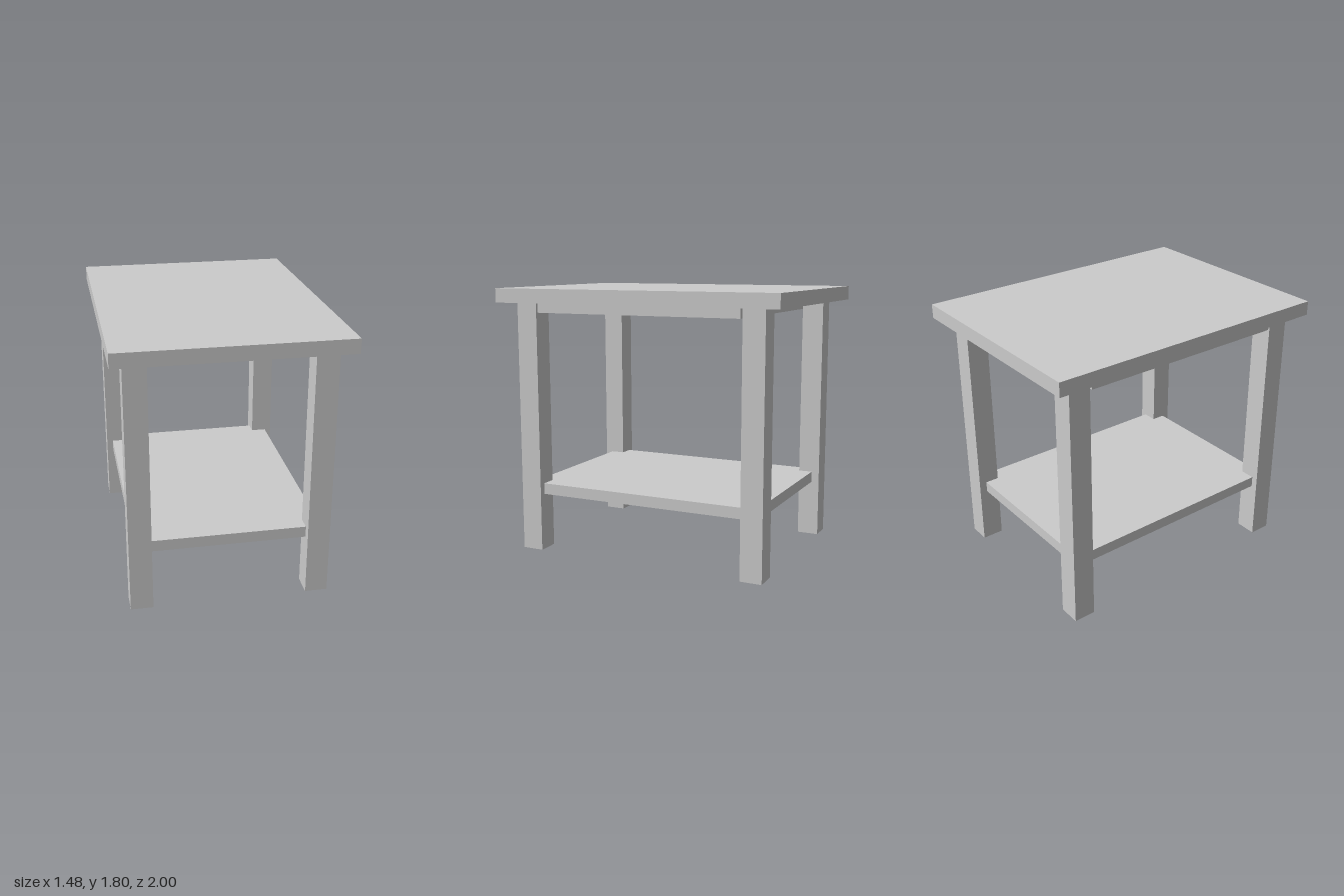
import * as THREE from 'three';

const material = new THREE.MeshStandardMaterial({ color: 0xcccccc, flatShading: true });

// Horizontal or vertical board, placed by its bottom height
function board(name, w, h, d, x, y, z) {
  const mesh = new THREE.Mesh(new THREE.BoxGeometry(w, h, d), material);
  mesh.name = name;
  mesh.position.set(x, y + h / 2, z);
  return mesh;
}

export function createModel() {
  const table = new THREE.Group();
  table.name = 'sideTable';

  // Table top and the panel fixed beneath it, between the legs
  table.add(board('tableTop', 1.48, 0.095, 2, 0, 1.705, 0));
  table.add(board('underPanel', 1.32, 0.063, 1.445, 0, 1.64, 0));

  // Four square legs
  for (const [side, sx] of [['Left', 1], ['Right', -1]]) {
    for (const [end, sz] of [['front', 1], ['back', -1]]) {
      table.add(board(`${end}${side}Leg`, 0.148, 1.705, 0.148, sx * 0.585, 0, sz * 0.809));
    }
  }

  // Lower shelf with its corners notched around the legs
  const [ix, iz, ox, oz] = [0.511, 0.735, 0.615, 0.83];
  const outline = [];
  for (const [sx, sz] of [[1, 1], [-1, 1], [-1, -1], [1, -1]]) {
    const corner = [[ox, iz], [ix, iz], [ix, oz]].map(([x, z]) => new THREE.Vector2(sx * x, sz * z));
    outline.push(...(sx * sz > 0 ? corner : corner.reverse()));
  }
  const shelfGeometry = new THREE.ExtrudeGeometry(new THREE.Shape(outline), { depth: 0.075, bevelEnabled: false });
  shelfGeometry.rotateX(-Math.PI / 2);
  const shelf = new THREE.Mesh(shelfGeometry, material);
  shelf.name = 'lowerShelf';
  shelf.position.y = 0.39;
  table.add(shelf);

  return table;
}
